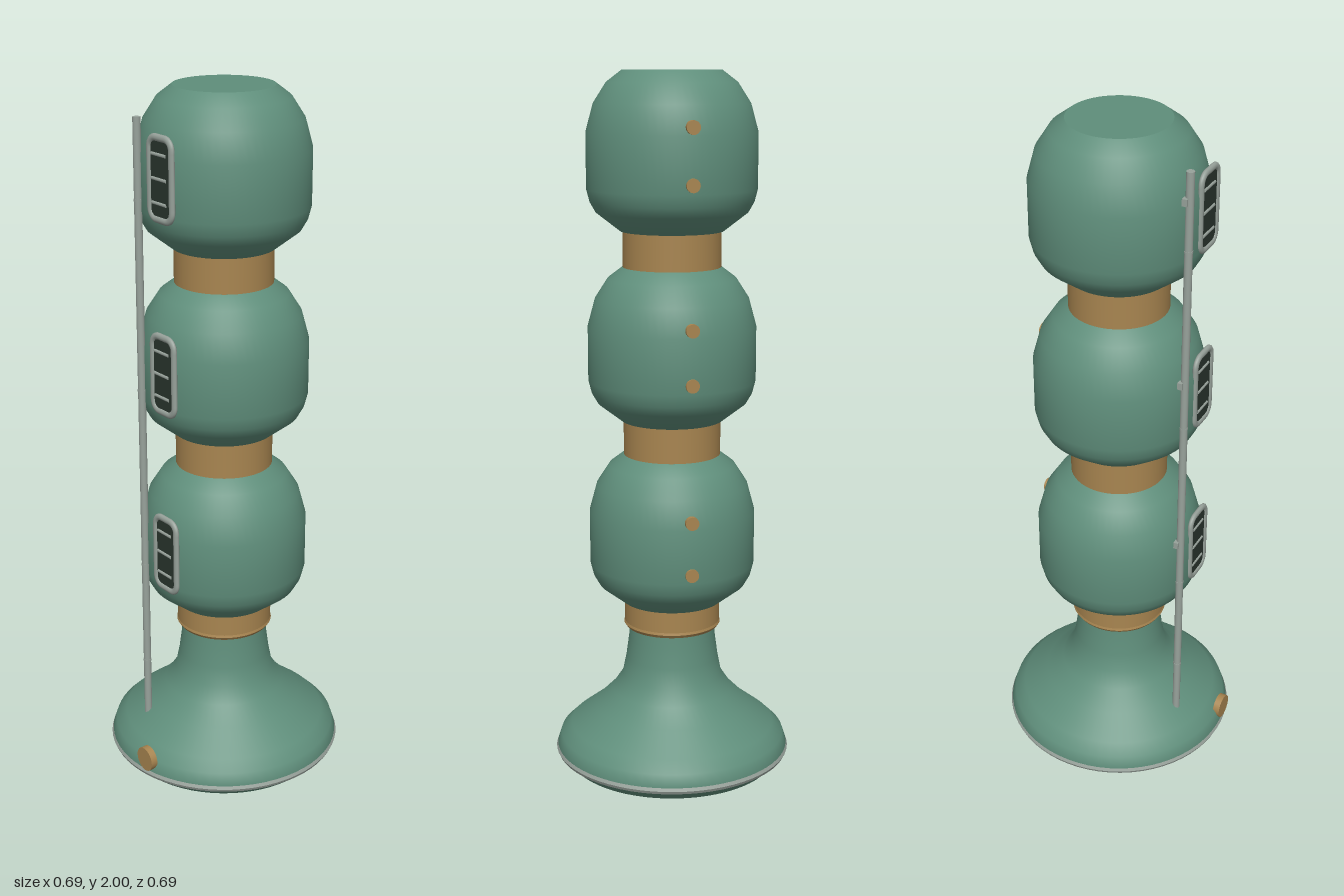
import * as THREE from 'three';
import { toCreasedNormals } from 'three/addons/utils/BufferGeometryUtils.js';

const paint = (name, color) => {
  const m = new THREE.MeshStandardMaterial({ color });
  m.name = name;
  return m;
};

export function createModel() {
  const green = paint('sage green', 0x5f8e7b);
  const bronze = paint('bronze', 0xa88550);
  const grey = paint('pale grey', 0x98a29b);
  const dark = paint('dark glass', 0x2a352e);

  const root = new THREE.Group();
  root.name = 'podTower';

  const add = (parent, name, geometry, material, x = 0, y = 0, z = 0) => {
    const mesh = new THREE.Mesh(geometry, material);
    mesh.name = name;
    mesh.position.set(x, y, z);
    parent.add(mesh);
    return mesh;
  };
  // Profile runs from bottom to top as [radius, height]
  const lathe = (profile) => toCreasedNormals(
    new THREE.LatheGeometry(profile.map(([r, y]) => new THREE.Vector2(r, y)), 64), 0.6);
  const disc = (r, depth) => new THREE.CylinderGeometry(r, r, depth, 24).rotateX(Math.PI / 2);

  // Flared base with its rim and front knob
  add(root, 'base', lathe([
    [0, 0.003], [0.305, 0.003], [0.338, 0.034], [0.339, 0.052], [0.328, 0.085], [0.297, 0.115],
    [0.225, 0.17], [0.175, 0.22], [0.145, 0.265], [0.134, 0.32], [0.126, 0.38], [0.123, 0.42], [0, 0.42],
  ]), green);
  add(root, 'baseRim', lathe([
    [0.328, 0.028], [0.339, 0.032], [0.343, 0.041], [0.339, 0.05], [0.33, 0.054],
  ]), grey);
  add(root, 'baseKnob', disc(0.036, 0.02), bronze, 0.056, 0.085, 0.328);

  // Rounded slot outline for the window frame
  const roundedRect = (w, h, r) => {
    const s = new THREE.Shape();
    s.moveTo(w / 2, h / 2 - r);
    s.absarc(w / 2 - r, h / 2 - r, r, 0, Math.PI / 2);
    s.absarc(-w / 2 + r, h / 2 - r, r, Math.PI / 2, Math.PI);
    s.absarc(-w / 2 + r, -h / 2 + r, r, Math.PI, Math.PI * 1.5);
    s.absarc(w / 2 - r, -h / 2 + r, r, Math.PI * 1.5, Math.PI * 2);
    s.closePath();
    return s;
  };
  const outline = roundedRect(0.096, 0.214, 0.027);
  const path = new THREE.CatmullRomCurve3(
    outline.getSpacedPoints(72).slice(0, -1).map((p) => new THREE.Vector3(p.x, p.y, 0)), true);
  const frameGeo = new THREE.TubeGeometry(path, 96, 0.01, 10, true).scale(1, 1, 0.75);
  const glassGeo = new THREE.ExtrudeGeometry(outline, { depth: 0.009, bevelEnabled: false });
  const barGeo = new THREE.CylinderGeometry(0.005, 0.005, 0.062, 8).rotateZ(Math.PI / 2);

  const podGeo = lathe([
    [0, -0.215], [0.145, -0.215], [0.212, -0.163], [0.228, -0.135], [0.237, -0.1],
    [0.237, 0.055], [0.216, 0.132], [0.18, 0.188], [0.138, 0.22], [0, 0.22],
  ]);

  // Three stacked pods, each on a bronze collar
  for (let i = 0; i < 3; i++) {
    const pod = new THREE.Group();
    pod.name = 'pod' + (i + 1);
    pod.position.y = 0.71 + i * 0.535;
    root.add(pod);
    add(pod, 'podShell', podGeo, green);

    const low = i === 0 ? 0.425 : pod.position.y - 0.32;
    const high = pod.position.y - 0.205;
    add(root, 'collar', new THREE.CylinderGeometry(0.138, 0.138, high - low, 48), bronze, 0, (low + high) / 2);

    const win = new THREE.Group();
    win.name = 'window';
    win.position.set(0.038, 0.004, 0.235);
    pod.add(win);
    add(win, 'windowFrame', frameGeo, grey, 0, 0, 0.001);
    add(win, 'windowGlass', glassGeo, dark, 0, 0, -0.005);
    for (const y of [-0.064, 0, 0.064]) add(win, 'windowBar', barGeo, grey, -0.004, y, 0.003);

    // Bolts on the back and the pole clip on the front
    for (const y of [-0.075, 0.075]) add(pod, 'backBolt', disc(0.019, 0.014), bronze, 0, y, -0.236);
    add(pod, 'poleClip', new THREE.BoxGeometry(0.016, 0.02, 0.014), grey, -0.08, 0.07, 0.226);
  }
  add(root, 'collarLip', lathe([[0.122, 0.414], [0.134, 0.416], [0.14, 0.425], [0.138, 0.432]]), bronze);

  // Slim pole up the front, with joint rings
  add(root, 'pole', new THREE.CylinderGeometry(0.011, 0.011, 1.785, 16), grey, -0.07, 1.0375, 0.233);
  for (const y of [0.325, 0.64, 1.175, 1.71]) {
    add(root, 'poleJoint', new THREE.CylinderGeometry(0.012, 0.012, 0.006, 16), grey, -0.07, y, 0.233);
  }
  return root;
}
